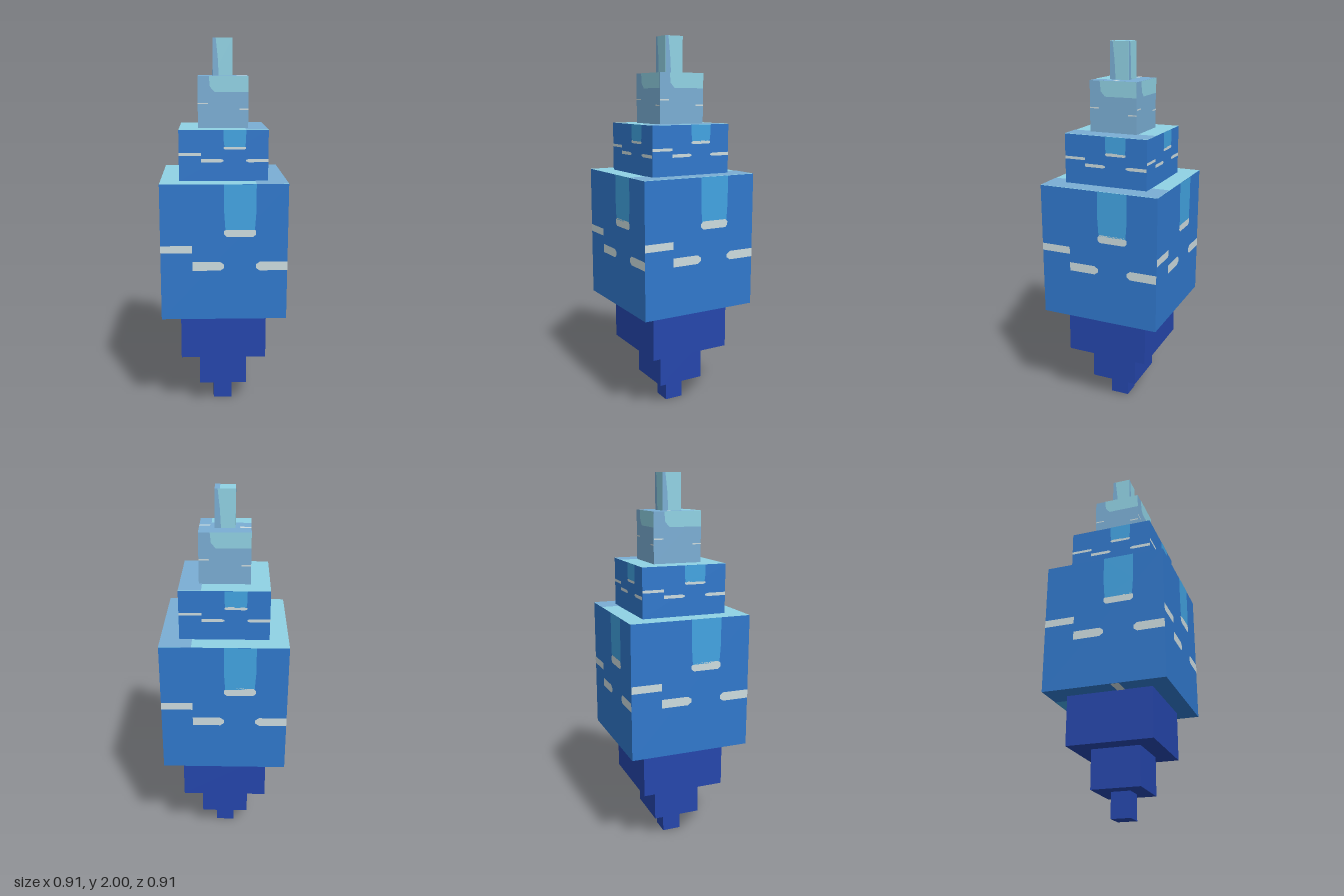
import * as THREE from 'three';

const material = (name, color) => {
  const m = new THREE.MeshStandardMaterial({ color });
  m.name = name;
  return m;
};
const blue = material('blue', 0x3078cc);
const navy = material('navy', 0x2546ac);
const steel = material('steel blue', 0x7aaed4);
const pale = material('pale aqua', 0x90d2e4);
const sky = material('sky blue', 0x42a4e2);
const grey = material('light grey', 0xcddcdf);

const LIFT = 0.0015;

// Rectangle in face fractions; cutLeft / cutRight bevel the corners of that end
function bar(u0, u1, v0, v1, cutLeft = 0, cutRight = 0) {
  const dv = (v1 - v0) * 0.3;
  return [
    [u0 + cutLeft, v0], [u1 - cutRight, v0], [u1, v0 + dv], [u1, v1 - dv],
    [u1 - cutRight, v1], [u0 + cutLeft, v1], [u0, v1 - dv], [u0, v0 + dv],
  ];
}

// Painted patches of each face, as [name, material, outline in face fractions]
const bodyMarks = [
  ['skyPatch', sky, [[0.51, 0.67], [0.74, 0.67], [0.75, 0.8], [0.75, 1], [0.5, 1], [0.5, 0.8]]],
  ['patchDash', grey, bar(0.5, 0.75, 0.62, 0.68, 0.02, 0.02)],
  ['upperDash', grey, bar(0, 0.25, 0.5, 0.555)],
  ['middleDash', grey, bar(0.25, 0.5, 0.37, 0.435, 0, 0.03)],
  ['edgeDash', grey, bar(0.75, 1, 0.37, 0.435, 0.03, 0)],
];
const neckMarks = [
  ['palePatch', pale, [[0.33, 0.7], [1, 0.7], [1, 1], [0.22, 1], [0.24, 0.8]]],
  ['upperDash', grey, bar(0, 0.2, 0.465, 0.49)],
  ['edgeDash', grey, bar(0.82, 1, 0.355, 0.38)],
];
const tipMarks = [['steelStrip', steel, [[0, 0], [0.3, 0], [0.25, 0.5], [0.15, 1], [0, 1]]]];
const topSteel = [['topSteelBand', steel, bar(0.75, 1, 0, 1)]];
const neckTop = [
  ['topPaleCorner', pale, bar(0, 0.77, 0, 0.35)],
  ['topDash', grey, bar(0.79, 1, 0.5, 0.57)],
  ['topDash', grey, bar(0, 0.22, 0.63, 0.7)],
];

// Flat patches spread over a w x h face centred on its own origin
function face(name, w, h, marks) {
  const g = new THREE.Group();
  g.name = name;
  for (const [label, mat, pts] of marks) {
    const outline = pts.map(([u, v]) => new THREE.Vector2((u - 0.5) * w, (v - 0.5) * h));
    const mesh = new THREE.Mesh(new THREE.ShapeGeometry(new THREE.Shape(outline)), mat);
    mesh.name = label;
    mesh.position.z = LIFT;
    g.add(mesh);
  }
  return g;
}

// One square block with the same marks on its four sides
function tier({ name, half, y0, y1, side, top = side, sideMarks = [], topMarks = [], bottomMarks = [] }) {
  const w = half * Math.SQRT2, h = y1 - y0;
  const g = new THREE.Group();
  g.name = name;
  g.position.y = (y0 + y1) / 2;

  const block = new THREE.Mesh(new THREE.BoxGeometry(w, h, w), [side, side, top, side, side, side]);
  block.name = name + 'Block';
  g.add(block);

  for (let i = 0; i < 4 && sideMarks.length; i++) {
    const f = face('sideMarks', w, h, sideMarks);
    const a = i * Math.PI / 2;
    f.rotation.y = a;
    f.position.set(Math.sin(a) * w / 2, 0, Math.cos(a) * w / 2);
    g.add(f);
  }
  if (topMarks.length) {
    const f = face('topMarks', w, w, topMarks);
    f.rotation.x = -Math.PI / 2;
    f.position.y = h / 2;
    g.add(f);
  }
  if (bottomMarks.length) {
    const f = face('bottomMarks', w, w, bottomMarks);
    f.rotation.set(Math.PI / 2, 0, Math.PI);
    f.position.y = -h / 2;
    g.add(f);
  }
  return g;
}

export function createModel() {
  const model = new THREE.Group();
  model.name = 'steppedCrystal';

  // All blocks stand corner-on to the front
  const stack = new THREE.Group();
  stack.name = 'blockStack';
  stack.rotation.y = Math.PI / 4;
  model.add(stack);

  const tiers = [
    { name: 'bottomTip', half: 0.072, y0: 0, y1: 0.13, side: navy },
    { name: 'lowerNeck', half: 0.182, y0: 0.13, y1: 0.33, side: navy },
    { name: 'lowerShoulder', half: 0.319, y0: 0.33, y1: 0.588, side: navy },
    { name: 'body', half: 0.455, y0: 0.588, y1: 1.293, side: blue, top: pale,
      sideMarks: bodyMarks, topMarks: topSteel, bottomMarks: bodyMarks },
    { name: 'upperShoulder', half: 0.319, y0: 1.293, y1: 1.55, side: blue, top: pale,
      sideMarks: bodyMarks, topMarks: topSteel },
    { name: 'upperNeck', half: 0.182, y0: 1.55, y1: 1.81, side: steel,
      sideMarks: neckMarks, topMarks: neckTop },
    { name: 'topTip', half: 0.072, y0: 1.81, y1: 2 - LIFT, side: pale,
      sideMarks: tipMarks, topMarks: topSteel },
  ];
  tiers.forEach((t) => stack.add(tier(t)));
  return model;
}
